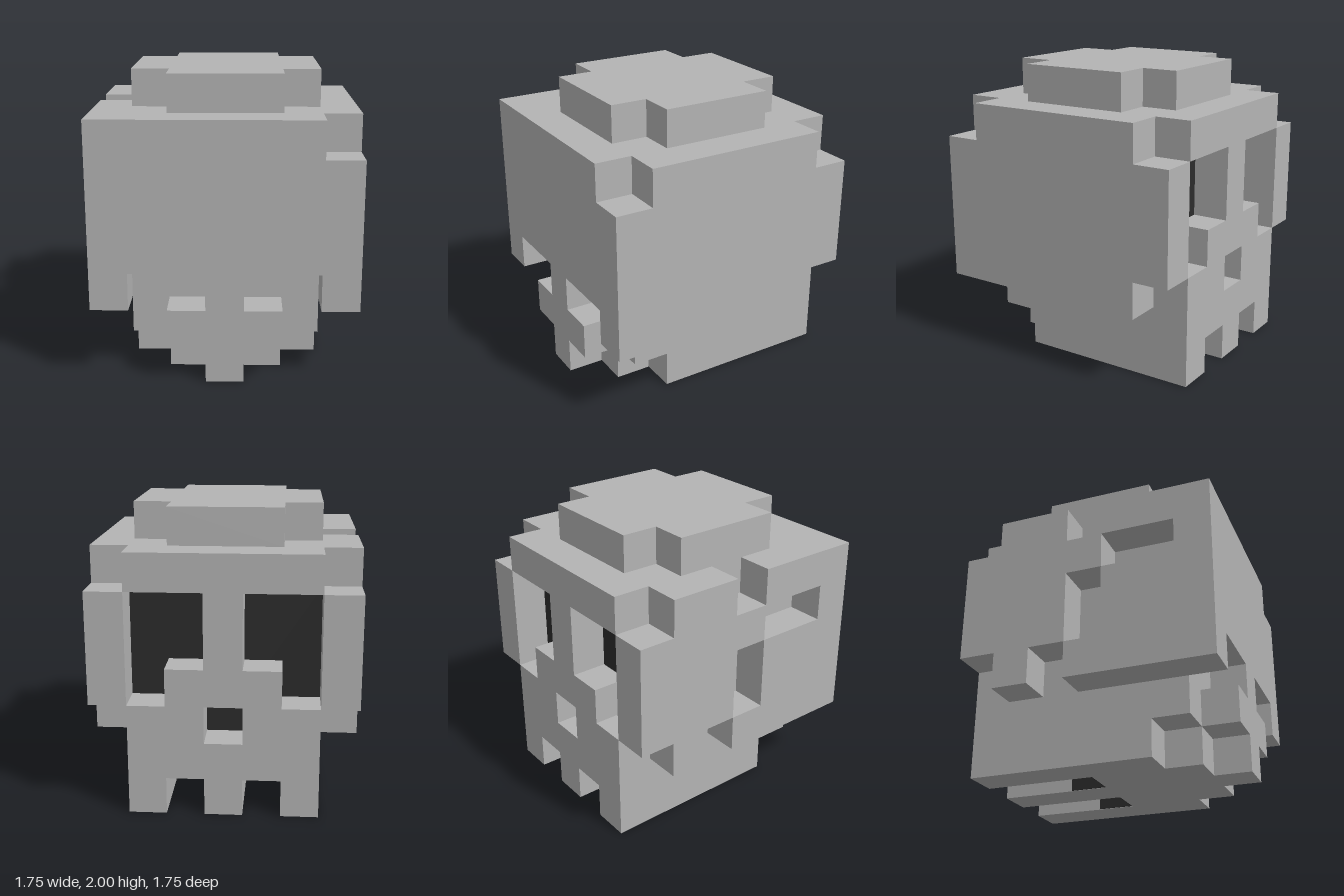
import * as THREE from 'three';

const U = 0.25; // size of one block
const T = 0.03; // thickness of dark plates, in blocks

export function createModel() {
  const bone = new THREE.MeshStandardMaterial({ color: 0xb4b4b4 });
  bone.name = 'bone grey';
  const dark = new THREE.MeshStandardMaterial({ color: 0x2c2c2c });
  dark.name = 'socket dark';

  // Everything is laid out in block units: x 0..7, y 0..8, z 0..7
  const group = new THREE.Group();
  group.name = 'blockSkull';

  function add(name, geometry, material) {
    geometry.translate(-3.5, 0, -3.5);
    geometry.scale(U, U, U);
    const mesh = new THREE.Mesh(geometry, material);
    mesh.name = name;
    group.add(mesh);
  }
  function box(name, material, x0, x1, y0, y1, z0, z1) {
    const g = new THREE.BoxGeometry(x1 - x0, y1 - y0, z1 - z0);
    g.translate((x0 + x1) / 2, (y0 + y1) / 2, (z0 + z1) / 2);
    add(name, g, material);
  }
  // One-block-thick slab from an outline with optional holes
  function slab(outline, holes = []) {
    const toPoints = (list) => list.map(([a, b]) => new THREE.Vector2(a, b));
    const shape = new THREE.Shape(toPoints(outline));
    holes.forEach((h) => shape.holes.push(new THREE.Path(toPoints(h))));
    return new THREE.ExtrudeGeometry(shape, { depth: 1, bevelEnabled: false });
  }
  // Outline given as (x, z), lying flat with its top at the given height
  const flat = (outline, top) => slab(outline).rotateX(Math.PI / 2).translate(0, top, 0);

  // Solid middle
  box('cranium', bone, 1, 6, 1, 7, 1, 6);

  // Cross-shaped crown on top
  add('crown', flat([
    [2, 1], [5, 1], [5, 2], [6, 2], [6, 5], [5, 5],
    [5, 6], [2, 6], [2, 5], [1, 5], [1, 2], [2, 2],
  ], 8), bone);

  // Face at the back: teeth, stepped eye openings and nose hole
  add('face', slab([
    [1, 0], [2, 0], [2, 1], [3, 1], [3, 0], [4, 0], [4, 1], [5, 1], [5, 0], [6, 0],
    [6, 3], [5, 3], [5, 4], [4, 4], [4, 6], [6, 6], [6, 7], [1, 7],
    [1, 6], [3, 6], [3, 4], [2, 4], [2, 3], [1, 3],
  ], [[[3, 2], [3, 3], [4, 3], [4, 2]]]), bone);

  // Front wall with the narrow stepped stem below
  add('frontWall', slab([
    [3, 0], [4, 0], [4, 1], [5, 1], [5, 2], [4, 2], [4, 3], [6, 3],
    [6, 7], [1, 7], [1, 3], [3, 3], [3, 2], [2, 2], [2, 1], [3, 1],
  ]).translate(0, 0, 6), bone);

  // Jaw floor with two slots
  add('jaw', flat([
    [1, 1], [2, 1], [2, 3], [3, 3], [3, 1], [4, 1], [4, 3], [5, 3],
    [5, 1], [6, 1], [6, 5], [5, 5], [5, 6], [2, 6], [2, 5], [1, 5],
  ], 1), bone);

  // Left wall, outline given as (z, y)
  add('leftWall', slab([
    [0, 3], [1, 3], [1, 2], [7, 2], [7, 6], [6, 6], [6, 7], [1, 7], [1, 6], [0, 6],
  ]).rotateY(-Math.PI / 2).translate(7, 0, 0), bone);

  // Cracked right wall, pieces given as z0, z1, y0, y1
  [
    [0, 1, 3, 6], [1, 2, 2, 7], [2, 3, 3, 7], [3, 4, 2, 3],
    [3, 4, 5, 6], [4, 7, 2, 5], [6, 7, 5, 6], [4, 7, 6, 7],
  ].forEach(([z0, z1, y0, y1]) => box('rightWall', bone, 0, 1, y0, y1, z0, z1));

  // Dark backs of the eyes and nose
  box('eyeSocket', dark, 1, 3, 3, 6, 1 - T, 1);
  box('eyeSocket', dark, 4, 6, 3, 6, 1 - T, 1);
  box('noseSocket', dark, 3, 4, 2, 3, 1 - T, 1);

  // Dark inner ends of the jaw slots
  for (const x of [2, 4]) {
    box('slotSide', dark, x, x + T, 0.01, 1, 2, 3);
    box('slotSide', dark, x + 1 - T, x + 1, 0.01, 1, 2, 3);
    box('slotEnd', dark, x, x + 1, 0.01, 1, 3 - T, 3);
    box('slotRoof', dark, x, x + 1, 1 - T, 1, 2, 3);
  }
  return group;
}
